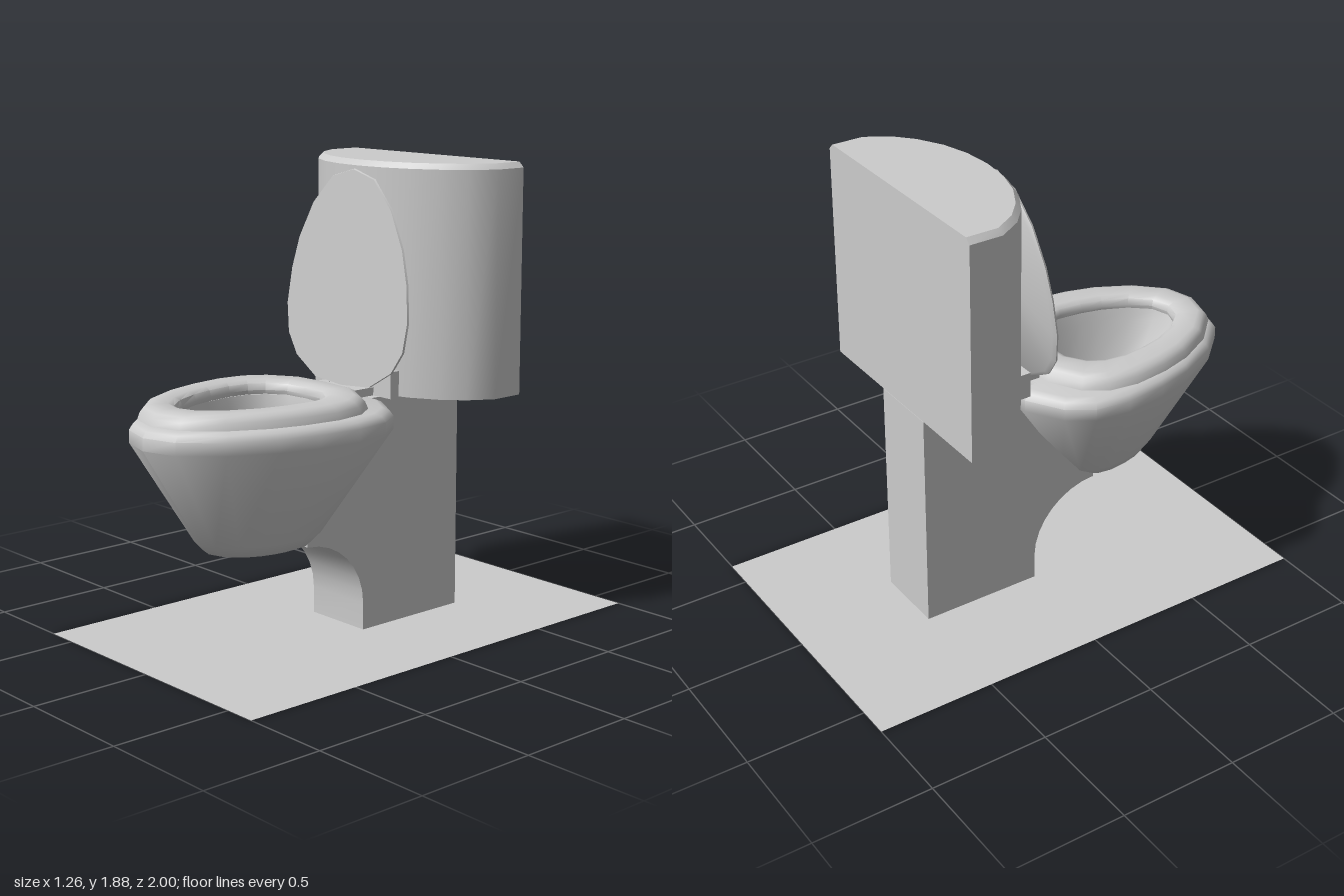
import * as THREE from 'three';
import { toCreasedNormals } from 'three/addons/utils/BufferGeometryUtils.js';

const grey = new THREE.MeshStandardMaterial({ color: 0xcccccc });
const greyDouble = new THREE.MeshStandardMaterial({ color: 0xcccccc, side: THREE.DoubleSide });

// Half outlines as [x, z], from back centre round to front centre.
const EGG = [[0, 0], [0.45, 0.015], [0.79, 0.1], [0.95, 0.2], [1, 0.34],
  [0.95, 0.51], [0.85, 0.66], [0.64, 0.83], [0.34, 0.96], [0, 1]];
const TANK = [[0, -0.49], [0.5, -0.49], [0.5, -0.35], [0.44, -0.25], [0.36, -0.178],
  [0.25, -0.117], [0.13, -0.082], [0, -0.07]];

// Mirrors a half outline into a closed ring of [x, z].
const mirror = (half) => [...half, ...half.slice(1, -1).reverse().map(([x, z]) => [-x, z])];

// Egg-shaped ring of half width w between zBack and zFront at height y.
const egg = (w, zBack, zFront, y) =>
  mirror(EGG).map(([x, t]) => [x * w, y, zBack + t * (zFront - zBack)]);
const point = (z, y) => egg(0, z, z, y);

// Skins a list of rings; collapsed rings act as caps.
function loft(rings, crease = 0.75) {
  const positions = [];
  const same = (a, b) => a.every((v, i) => Math.abs(v - b[i]) < 1e-6);
  const tri = (a, b, c) => {
    if (!same(a, b) && !same(b, c) && !same(a, c)) positions.push(...a, ...b, ...c);
  };
  for (let i = 0; i < rings.length - 1; i++) {
    const lo = rings[i], hi = rings[i + 1], n = lo.length;
    for (let j = 0; j < n; j++) {
      const k = (j + 1) % n;
      tri(lo[j], hi[j], lo[k]);
      tri(lo[k], hi[j], hi[k]);
    }
  }
  const geometry = new THREE.BufferGeometry();
  geometry.setAttribute('position', new THREE.Float32BufferAttribute(positions, 3));
  return toCreasedNormals(geometry, crease);
}

export function createModel() {
  const model = new THREE.Group();
  const toilet = new THREE.Group();
  toilet.name = 'toilet';
  toilet.position.x = 0.01;
  model.add(toilet);

  const add = (name, geometry, parent = toilet, material = grey) => {
    const mesh = new THREE.Mesh(geometry, material);
    mesh.name = name;
    parent.add(mesh);
    return mesh;
  };
  const box = (name, w, h, d, x, y, z) =>
    add(name, new THREE.BoxGeometry(w, h, d)).position.set(x, y, z);

  // Floor sheet
  add('floor', new THREE.PlaneGeometry(1.26, 2).rotateX(-Math.PI / 2), model, greyDouble);

  // Pedestal: side profile with a concave front, extruded across the width
  const profile = new THREE.Shape();
  profile.moveTo(0.49, 0);
  profile.lineTo(-0.035, 0);
  profile.lineTo(-0.035, 0.11);
  profile.bezierCurveTo(-0.035, 0.27, -0.17, 0.4, -0.33, 0.402);
  profile.lineTo(-0.33, 0.45);
  profile.lineTo(-0.2, 0.6);
  profile.lineTo(-0.1, 0.8);
  profile.lineTo(-0.05, 0.953);
  profile.lineTo(0.49, 0.953);
  const pedestal = new THREE.ExtrudeGeometry(profile, { depth: 0.304, bevelEnabled: false, curveSegments: 8 });
  pedestal.translate(0, 0, -0.152).rotateY(Math.PI / 2);
  add('pedestal', toCreasedNormals(pedestal, 0.5));

  // Bowl: outside from the base up, over the rim and down the inside
  add('bowl', loft([
    point(0.48, 0.398),
    egg(0.13, 0.32, 0.64, 0.398),
    egg(0.17, 0.26, 0.7, 0.415),
    egg(0.195, 0.21, 0.74, 0.455),
    egg(0.427, -0.06, 1, 0.87),
    egg(0.427, -0.06, 1, 0.92),
    egg(0.412, -0.045, 0.985, 0.942),
    egg(0.385, -0.02, 0.96, 0.953),
    egg(0.24, 0.19, 0.84, 0.953),
    egg(0.225, 0.2, 0.82, 0.9),
    egg(0.2, 0.21, 0.75, 0.75),
    egg(0.17, 0.22, 0.67, 0.6),
    point(0.44, 0.58),
  ]));

  // Seat ring with rounded edges
  const seat = [
    egg(0.385, 0.06, 0.965, 0.958),
    egg(0.375, 0.07, 0.955, 0.985),
    egg(0.36, 0.085, 0.94, 1.003),
    egg(0.335, 0.105, 0.915, 1.012),
    egg(0.255, 0.175, 0.845, 1.012),
    egg(0.23, 0.2, 0.82, 1.0),
    egg(0.22, 0.21, 0.81, 0.975),
    egg(0.225, 0.205, 0.815, 0.958),
  ];
  add('seat', loft([...seat, seat[0]]));

  // Raised lid, leaning back against the tank
  const lid = add('lid', loft([
    point(0.43, -0.004),
    egg(0.357, 0, 0.862, -0.004),
    egg(0.36, 0, 0.865, 0.004),
    egg(0.345, 0.015, 0.85, 0.016),
    point(0.43, 0.016),
  ]));
  lid.position.set(0, 0.987, 0.014);
  lid.rotation.x = -Math.PI / 2 - 0.075;

  // Hinge: rear mounting block, cross bar and two arms
  box('hingeBlock', 0.45, 0.108, 0.045, 0, 1.009, -0.064);
  box('hingeBar', 0.24, 0.03, 0.04, 0, 0.973, 0.015);
  for (const side of [-1, 1]) {
    box('hingeArm', 0.05, 0.033, 0.12, side * 0.1, 0.972, 0.01);
  }

  // Tank: flat back, bowed front, chamfered top edge
  const tankRing = (y, s) => mirror(TANK).map(([x, z]) => [x * s, y, -0.49 + (z + 0.49) * s]);
  add('tank', loft([
    tankRing(0.955, 0), tankRing(0.955, 1), tankRing(1.86, 1), tankRing(1.882, 0.955), tankRing(1.882, 0),
  ], 0.6));

  return model;
}
